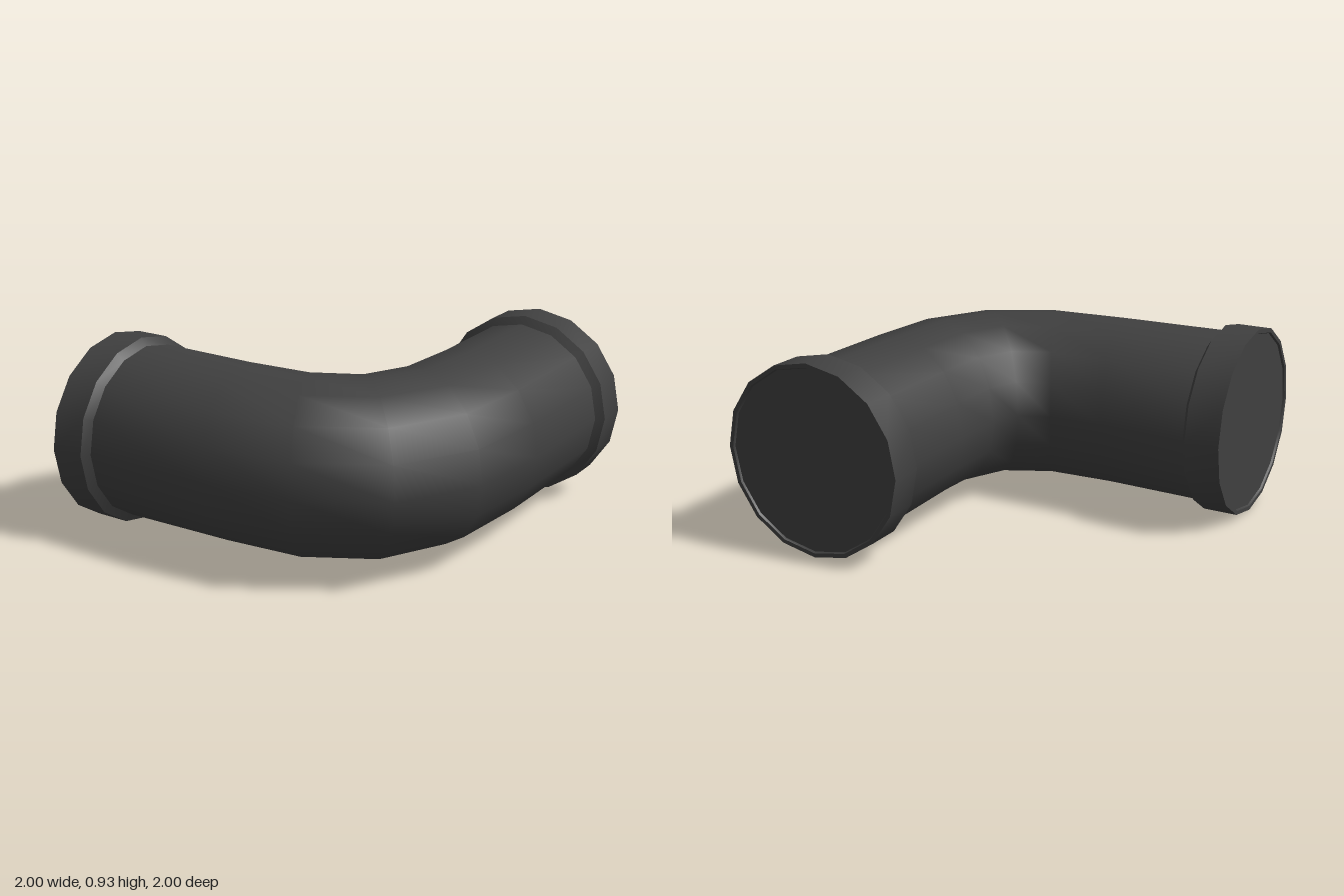
import * as THREE from 'three';
import { toCreasedNormals } from 'three/addons/utils/BufferGeometryUtils.js';

const SIDES = 16;
const AXIS_Y = 0.465; // height of the pipe axis
const AXIS = 0.535; // offset of each arm from the centre

// Smooth elbow tube, lofted through rings given by their inner and outer bend points
function elbowGeometry() {
  // [inner x, inner z, outer x, outer z]
  const half = [
    [-0.82, 0.107, -0.82, 0.96],
    [-0.37, 0.112, -0.15, 0.955],
    [-0.1, 0.105, 0.3, 0.91],
  ];
  const mirrored = half.map(([a, b, c, d]) => [b, a, d, c]).reverse();
  const rings = [...half, [0.05, 0.045, 0.69, 0.685], ...mirrored];

  const positions = [];
  const index = [];
  rings.forEach(([ix, iz, ox, oz], i) => {
    const height = i === 0 || i === rings.length - 1 ? 0.426 : 0.42;
    for (let j = 0; j < SIDES; j++) {
      const angle = (j / SIDES) * Math.PI * 2;
      const c = Math.cos(angle) / 2;
      positions.push(
        (ix + ox) / 2 + (ox - ix) * c,
        AXIS_Y + height * Math.sin(angle),
        (iz + oz) / 2 + (oz - iz) * c,
      );
      if (i < rings.length - 1) {
        const a = i * SIDES + j;
        const b = i * SIDES + ((j + 1) % SIDES);
        index.push(a, a + SIDES, b, b, a + SIDES, b + SIDES);
      }
    }
  });
  const geometry = new THREE.BufferGeometry();
  geometry.setAttribute('position', new THREE.Float32BufferAttribute(positions, 3));
  geometry.setIndex(index);
  geometry.computeVertexNormals();
  return geometry;
}

// Collar with a slightly recessed end disc and a bevelled shoulder
function collarGeometry() {
  const profile = [
    [0, 0.01], [0.44, 0.01], [0.445, 0], [0.465, 0], [0.465, 0.17], [0.424, 0.197],
  ].map(([r, y]) => new THREE.Vector2(r, y));
  return toCreasedNormals(new THREE.LatheGeometry(profile, SIDES), 0.5);
}

export function createModel() {
  const model = new THREE.Group();
  model.name = 'pipeElbow';
  const darkGrey = new THREE.MeshStandardMaterial({ color: 0x404040 });
  darkGrey.name = 'darkGrey';

  const elbow = new THREE.Mesh(elbowGeometry(), darkGrey);
  elbow.name = 'elbowPipe';
  model.add(elbow);

  const collar = collarGeometry();
  const rightCollar = new THREE.Mesh(collar, darkGrey);
  rightCollar.name = 'rightCollar';
  rightCollar.position.set(-1, AXIS_Y, AXIS);
  rightCollar.rotation.z = -Math.PI / 2;

  const backCollar = new THREE.Mesh(collar, darkGrey);
  backCollar.name = 'backCollar';
  backCollar.position.set(AXIS, AXIS_Y, -1);
  backCollar.rotation.x = Math.PI / 2;

  model.add(rightCollar, backCollar);
  return model;
}
